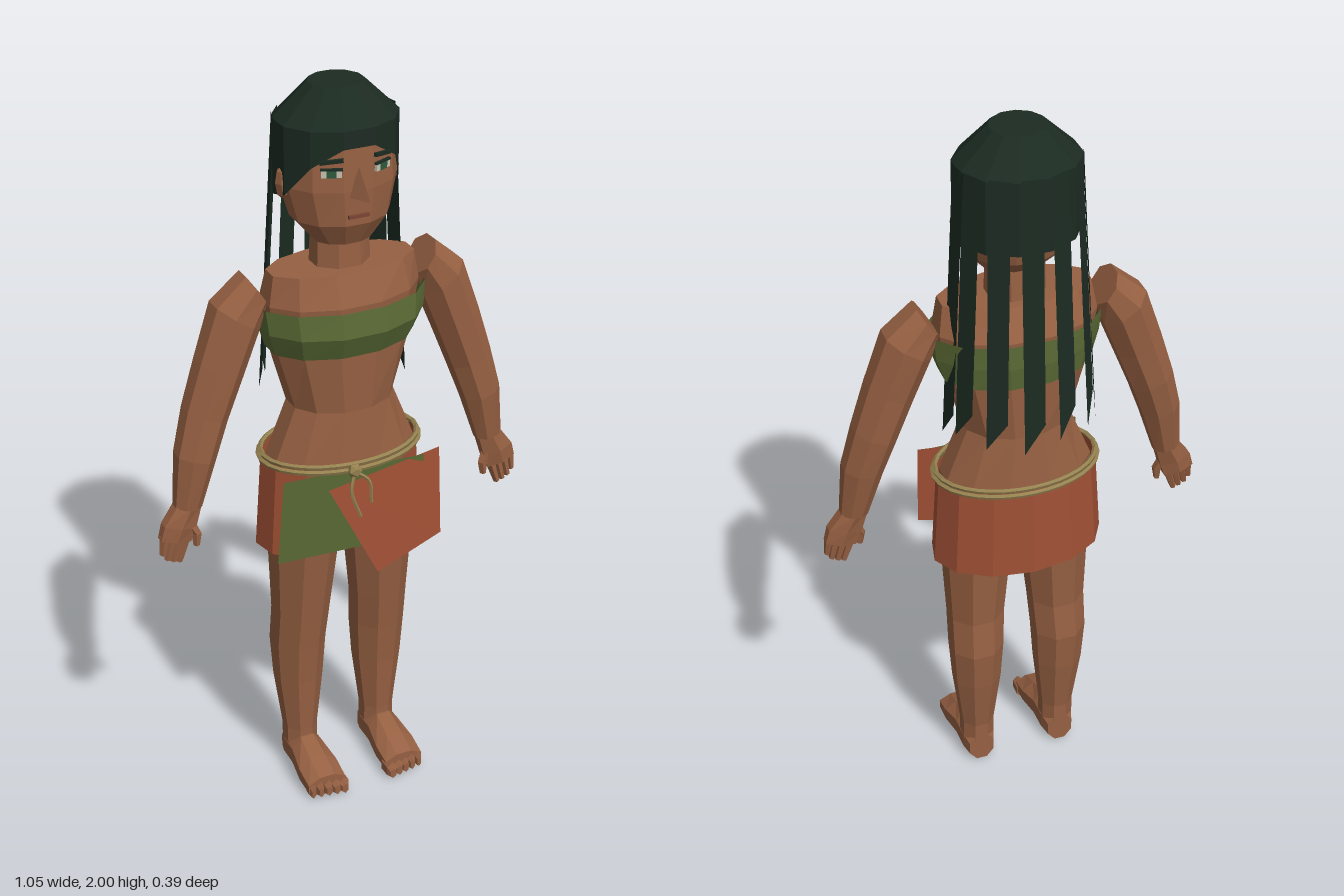
import * as THREE from 'three';
import { ConvexGeometry } from 'three/addons/geometries/ConvexGeometry.js';

const V = (x, y, z) => new THREE.Vector3(x, y, z);
const mat = (name, color, side = THREE.FrontSide) => {
  const m = new THREE.MeshStandardMaterial({ color, side });
  m.name = name;
  return m;
};

// flat-faced copy of a geometry
function facet(geo) {
  const g = geo.index ? geo.toNonIndexed() : geo;
  g.computeVertexNormals();
  return g;
}

// skin over elliptical rings [x, y, z, halfWidth, halfDepth, tilt], listed upwards
function loft(rings, n, capped = true) {
  const pos = [], idx = [], k = 1 / Math.cos(Math.PI / n);
  for (const [x, y, z, a, b, tilt = 0] of rings) {
    for (let j = 0; j < n; j++) {
      const t = ((j + 0.5) / n) * Math.PI * 2, u = a * k * Math.cos(t);
      pos.push(x + u * Math.cos(tilt), y + u * Math.sin(tilt), z + b * k * Math.sin(t));
    }
  }
  const last = (rings.length - 1) * n;
  for (let i = 0; i < last; i += n) {
    for (let j = 0; j < n; j++) {
      const p = i + j, q = i + ((j + 1) % n);
      idx.push(p, p + n, q, q, p + n, q + n);
    }
  }
  if (capped) {
    for (let j = 1; j < n - 1; j++) idx.push(0, j, j + 1, last, last + j + 1, last + j);
  }
  const g = new THREE.BufferGeometry();
  g.setAttribute('position', new THREE.Float32BufferAttribute(pos, 3));
  g.setIndex(idx);
  return g;
}

// four-cornered sheet
function sheet(a, b, c, d) {
  const g = new THREE.BufferGeometry().setFromPoints([a, b, c, d]);
  g.setIndex([0, 1, 2, 0, 2, 3]);
  return g;
}

export function createModel() {
  const root = new THREE.Group();
  const skin = mat('skin', 0x966042);
  const hair = mat('hair', 0x1c2b22, THREE.DoubleSide);
  const green = mat('green cloth', 0x5a6a35, THREE.DoubleSide);
  const red = mat('red cloth', 0xa05035, THREE.DoubleSide);
  const rope = mat('rope', 0x94804f);
  const white = mat('eye white', 0xc8c4b4);
  const iris = mat('iris', 0x2f5a3c);
  const lip = mat('lips', 0x7c4634);
  const add = (name, geo, material, parent = root) => {
    const m = new THREE.Mesh(facet(geo), material);
    m.name = name;
    parent.add(m);
    return m;
  };

  // body
  add('torso', loft([
    [0, 0.82, 0, 0.19, 0.1], [0, 1.01, 0, 0.2, 0.125], [0, 1.16, 0, 0.14, 0.11],
    [0, 1.32, 0, 0.185, 0.115], [0, 1.46, 0, 0.208, 0.125], [0, 1.54, 0.005, 0.195, 0.09],
  ], 12), skin);
  add('bandeau', loft([
    [0, 1.325, 0, 0.195, 0.125], [0, 1.39, 0.01, 0.216, 0.143], [0, 1.455, 0.005, 0.222, 0.137],
  ], 12, false), green);
  add('neck', loft([[0, 1.52, 0, 0.074, 0.062], [0, 1.64, 0, 0.07, 0.055]], 8), skin);

  // head
  add('head', loft([
    [0, 1.61, 0.015, 0.075, 0.06], [0, 1.67, 0, 0.125, 0.105],
    [0, 1.76, -0.01, 0.148, 0.118], [0, 1.9, -0.015, 0.142, 0.116],
  ], 12), skin);
  add('nose', new ConvexGeometry([
    V(0, 1.82, 0.108), V(-0.026, 1.745, 0.105), V(0.026, 1.745, 0.105), V(0, 1.75, 0.168),
  ]), skin);
  add('mouth', new THREE.BoxGeometry(0.056, 0.009, 0.009), lip).position.set(0, 1.695, 0.108);

  // hair cap, with the rim arching up over the face
  const cap = loft([
    [0, 1.72, -0.02, 0.155, 0.13], [0, 1.915, -0.02, 0.155, 0.13], [0, 2, -0.02, 0.068, 0.066],
  ], 12);
  const cp = cap.attributes.position;
  for (let i = 0; i < 12; i++) cp.setY(i, 1.72 + 1.36 * Math.max(0, cp.getZ(i)));
  cap.setIndex(Array.from(cap.index.array).filter((_, i, a) => {
    const t = i - (i % 3);
    return Math.max(a[t], a[t + 1], a[t + 2]) > 11; // leave the rim open
  }));
  add('hairCap', cap, hair);

  // long strands fanned round the back of the head
  const strands = new THREE.Group();
  strands.name = 'hairStrands';
  root.add(strands);
  [-73, -53, -23, 4, 32, 60, 80].forEach((deg, i) => {
    const a = THREE.MathUtils.degToRad(deg), w = 0.027;
    const out = V(Math.sin(a), 0, -Math.cos(a)), along = V(Math.cos(a), 0, Math.sin(a));
    const at = (side, y, push) => V(out.x * 0.158, y, out.z * 0.132 - 0.02)
      .addScaledVector(out, push).addScaledVector(along, side * w);
    const low = 1.17 + 0.012 * (i % 3);
    add('strand', sheet(at(-1, 1.92, 0), at(-1, low + 0.08, 0.04), at(1, low, 0.044), at(1, 1.92, 0)),
      hair, strands);
  });

  for (const s of [1, -1]) {
    const side = s > 0 ? 'left' : 'right';
    const group = (name) => {
      const g = new THREE.Group();
      g.name = side + name;
      root.add(g);
      return g;
    };

    // eye, brow and ear
    const eye = group('Eye');
    eye.position.set(s * 0.068, 1.81, 0.097);
    eye.rotation.y = s * 0.43;
    add('eyeWhite', new THREE.BoxGeometry(0.05, 0.018, 0.007), white, eye);
    add('iris', new THREE.BoxGeometry(0.024, 0.018, 0.009), iris, eye).position.z = 0.001;
    add('upperLid', new THREE.BoxGeometry(0.054, 0.005, 0.009), hair, eye).position.set(0, 0.011, 0.001);
    const brow = add('brow', new THREE.BoxGeometry(0.058, 0.009, 0.009), hair, eye);
    brow.position.set(0, 0.031, 0.001);
    brow.rotation.z = -s * 0.12;
    const ear = add('ear', new THREE.SphereGeometry(1, 6, 4), skin, group('Ear'));
    ear.scale.set(0.018, 0.042, 0.022);
    ear.position.set(s * 0.15, 1.765, -0.01);

    // arm and hand
    const arm = group('Arm');
    const limb = (name, rings, n) => add(name, loft(
      rings.map(([x, y, z, a, b, t]) => [s * x, y, z, a, b, s * t]), n), skin, arm);
    limb('arm', [
      [0.44, 0.94, 0.015, 0.036, 0.03, 0.15], [0.412, 1.08, 0.01, 0.052, 0.05, 0.25],
      [0.378, 1.19, 0.002, 0.058, 0.056, 0.4], [0.335, 1.31, 0, 0.063, 0.06, 0.45],
      [0.286, 1.44, -0.005, 0.068, 0.066, 0.6], [0.235, 1.505, -0.005, 0.05, 0.056, 1.0],
    ], 8);
    limb('palm', [
      [0.48, 0.85, 0.018, 0.042, 0.02, 0.25], [0.467, 0.89, 0.018, 0.044, 0.024, 0.25],
      [0.44, 0.945, 0.015, 0.034, 0.026, 0.15],
    ], 6);
    [[0.449, 0.472, 0.785], [0.469, 0.488, 0.79], [0.489, 0.504, 0.798], [0.508, 0.516, 0.815]]
      .forEach(([x, tip, y], i) => limb('finger', [
        [tip, y, 0.022, 0.007, 0.008, 0.2], [x, 0.855 + i * 0.004, 0.018, 0.011, 0.013, 0.2],
      ], 5));
    limb('thumb', [
      [0.424, 0.825, 0.028, 0.007, 0.008, 0], [0.422, 0.86, 0.026, 0.011, 0.011, 0],
      [0.445, 0.905, 0.018, 0.015, 0.014, 0],
    ], 5);

    // leg
    const leg = group('Leg');
    add('leg', loft([
      [s * 0.12, 0.07, -0.01, 0.045, 0.045], [s * 0.12, 0.13, -0.01, 0.045, 0.045],
      [s * 0.121, 0.3, -0.016, 0.064, 0.062], [s * 0.121, 0.42, -0.016, 0.071, 0.073],
      [s * 0.117, 0.53, -0.002, 0.074, 0.073], [s * 0.11, 0.75, 0.006, 0.089, 0.09],
      [s * 0.1, 0.96, 0, 0.095, 0.1],
    ], 8), skin, leg);

    // foot, built lengthwise and laid down
    add('foot', loft([
      [s * 0.12, -0.054, -0.045, 0.036, 0.045], [s * 0.12, -0.02, -0.055, 0.046, 0.055],
      [s * 0.12, 0.04, -0.055, 0.047, 0.055], [s * 0.12, 0.11, -0.042, 0.057, 0.042],
      [s * 0.12, 0.17, -0.03, 0.056, 0.03],
    ], 8).rotateX(Math.PI / 2), skin, leg);
    for (let i = 0; i < 5; i++) {
      const r = 0.015 - i * 0.0015, x = s * (0.075 + i * 0.0225), end = 0.196 - i * 0.004;
      add('toe', loft([
        [x, 0.15, -0.024, r, 0.022], [x, end - 0.012, -0.024, r, 0.022], [x, end, -0.02, r * 0.6, 0.014],
      ], 6).rotateX(Math.PI / 2), skin, leg);
    }
  }

  // wrap skirt, open at the front behind two loose panels
  const skirt = new THREE.CylinderGeometry(0.95, 1.03, 0.27, 10, 1, true, 0.7, Math.PI * 2 - 1.4);
  skirt.scale(0.23, 1, 0.146).translate(0, 0.885, -0.008);
  add('skirt', skirt, red);
  add('greenPanel', sheet(V(-0.22, 1.01, 0.13), V(-0.235, 0.765, 0.12),
    V(0.18, 0.75, 0.125), V(0.18, 1, 0.135)), green);
  add('redPanel', sheet(V(-0.1, 0.965, 0.145), V(0.035, 0.69, 0.163),
    V(0.228, 0.755, 0.15), V(0.228, 1.008, 0.13)), red);

  // rope belt with a knot and hanging ends
  const cord = (name, points, closed, r) => add(name, new THREE.TubeGeometry(
    new THREE.CatmullRomCurve3(points, closed), closed ? 32 : 8, r, 5, closed), rope);
  for (const [y, rx, rz] of [[1.011, 0.224, 0.15], [1.024, 0.218, 0.144]]) {
    const loop = [];
    for (let i = 0; i < 16; i++) {
      const a = (i / 16) * Math.PI * 2;
      loop.push(V(rx * Math.cos(a), y, rz * Math.sin(a) - 0.003));
    }
    cord('belt', loop, true, 0.007);
  }
  add('knot', new THREE.IcosahedronGeometry(0.02, 0), rope).position.set(-0.03, 1.012, 0.152);
  cord('ropeEnd', [V(-0.03, 1.01, 0.155), V(-0.045, 0.96, 0.165), V(-0.02, 0.88, 0.168)], false, 0.005);
  cord('ropeEnd', [V(-0.03, 1.01, 0.155), V(0.005, 0.98, 0.165), V(0.012, 0.915, 0.166)], false, 0.005);
  return root;
}
